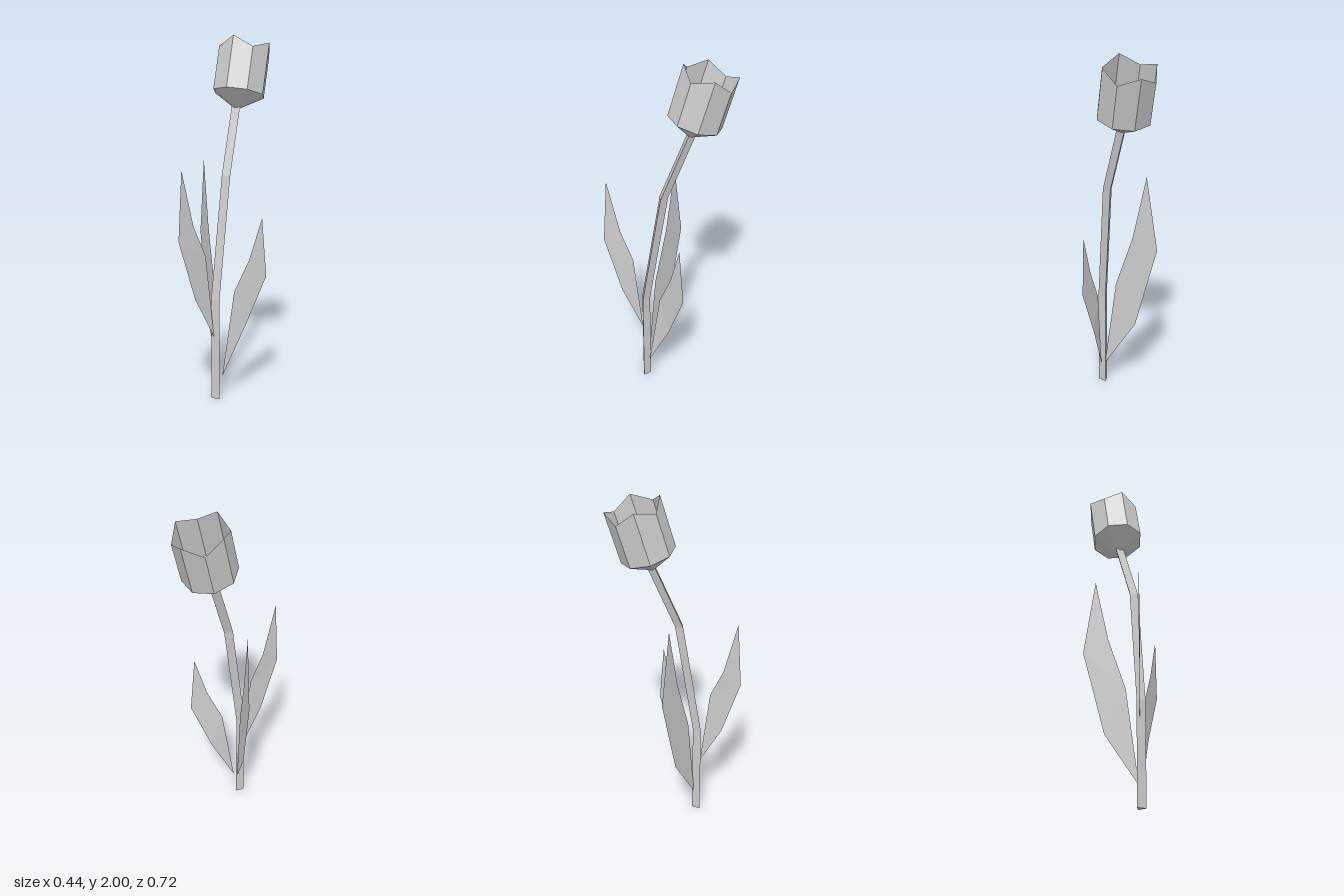
import * as THREE from 'three';

const material = new THREE.MeshStandardMaterial({ color: 0xcccccc, flatShading: true, side: THREE.DoubleSide });

// Flat-shaded mesh from corner points and triangles
function facetMesh(name, points, triangles) {
  const geometry = new THREE.BufferGeometry();
  geometry.setAttribute('position', new THREE.Float32BufferAttribute(points.flat(), 3));
  geometry.setIndex(triangles.flat());
  const flat = geometry.toNonIndexed();
  flat.computeVertexNormals();
  const mesh = new THREE.Mesh(flat, material);
  mesh.name = name;
  return mesh;
}

// Three-sided stem, lofted through triangular sections: centre x, y, front z
function makeStem() {
  const sections = [[0.014, 0, 0.15], [0.014, 0.57, 0.15], [0.024, 1.245, 0.046], [0.004, 1.612, -0.104]];
  const points = [], triangles = [[2, 1, 0]];
  for (const [x, y, z] of sections) {
    points.push([x - 0.026, y, z], [x + 0.026, y, z], [x, y, z - 0.043]);
  }
  for (let s = 0; s < sections.length - 1; s++) {
    for (let j = 0; j < 3; j++) {
      const a = s * 3 + j, b = s * 3 + (j + 1) % 3;
      triangles.push([a, b, b + 3], [a, b + 3, a + 3]);
    }
  }
  const top = points.length - 3;
  triangles.push([top, top + 1, top + 2]);
  return facetMesh('stem', points, triangles);
}

// Open eight-sided cup with a pointed base and a zigzag rim
function makeBloom() {
  const sides = 8, radius = 0.148;
  const points = [[0, -0.091, 0]], triangles = [];
  for (let i = 0; i < sides; i++) {
    const angle = (i / sides) * Math.PI * 2;
    const x = radius * Math.sin(angle), z = radius * Math.cos(angle);
    points.push([x, 0, z], [x, i % 2 ? 0.239 : 0.289, z]);
    const a = 1 + i * 2, b = 1 + ((i + 1) % sides) * 2;
    triangles.push([0, b, a], [a, b, b + 1], [a, b + 1, a + 1]);
  }
  const bloom = facetMesh('bloom', points, triangles);
  bloom.position.set(0.004, 1.68, -0.137);
  bloom.rotation.x = -0.28;
  return bloom;
}

// Thin leaf: base, two outer-edge points, tip, two inner-edge points
function makeLeaf(name, base, outerLow, outerHigh, tip, innerHigh, innerLow) {
  return facetMesh(name, [base, outerLow, outerHigh, tip, innerHigh, innerLow],
    [[0, 1, 5], [5, 1, 2], [5, 2, 4], [4, 2, 3]]);
}

export function createModel() {
  const tulip = new THREE.Group();
  tulip.name = 'tulip';
  tulip.add(
    makeStem(),
    makeBloom(),
    makeLeaf('leftLeaf', [0.038, 0.125, 0.115], [0.125, 0.4, 0.005], [0.217, 0.68, -0.067],
      [0.2, 1.01, -0.045], [0.145, 0.78, 0], [0.08, 0.6, 0.055]),
    makeLeaf('rightLeaf', [0.014, 0.12, 0.118], [-0.125, 0.41, -0.009], [-0.22, 0.89, -0.092],
      [-0.17, 1.315, -0.048], [-0.112, 0.95, 0.004], [-0.038, 0.65, 0.072]),
    makeLeaf('frontLeaf', [0.006, 0.355, 0.15], [-0.046, 0.59, 0.264], [-0.09, 0.92, 0.358],
      [-0.084, 1.297, 0.333], [-0.053, 0.99, 0.265], [-0.018, 0.82, 0.198]),
  );
  return tulip;
}
